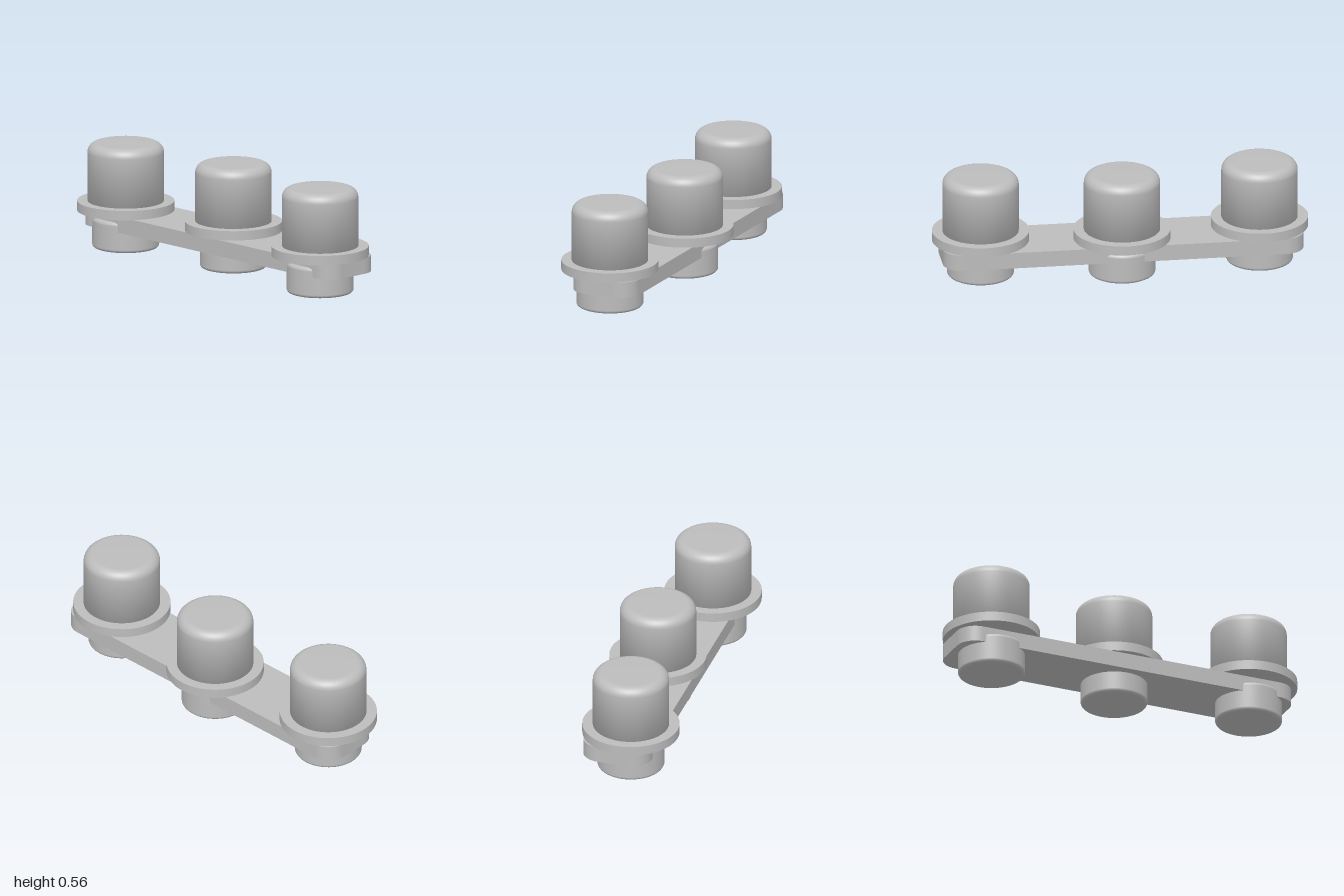
import * as THREE from 'three';

const SEGMENTS = 64;

// Solid round peg with filleted rims, from y0 to y1
function roundedPeg(radius, y0, y1, bottomFillet, topFillet) {
  const points = [new THREE.Vector2(0, y0)];
  const fillet = (f, cy, from) => {
    if (f === 0) points.push(new THREE.Vector2(radius, cy));
    else for (let i = 0; i <= 8; i++) {
      const a = from + (i / 8) * Math.PI / 2;
      points.push(new THREE.Vector2(radius - f + f * Math.cos(a), cy + f * Math.sin(a)));
    }
  };
  fillet(bottomFillet, y0 + bottomFillet, -Math.PI / 2);
  fillet(topFillet, y1 - topFillet, 0);
  points.push(new THREE.Vector2(0, y1));
  return new THREE.LatheGeometry(points, SEGMENTS);
}

// Flat bar with rounded corners, lying in the xz plane
function barGeometry(w, d, h, r) {
  const s = new THREE.Shape();
  s.absarc(w - r, d - r, r, 0, Math.PI / 2);
  s.absarc(-w + r, d - r, r, Math.PI / 2, Math.PI);
  s.absarc(-w + r, -d + r, r, Math.PI, Math.PI * 1.5);
  s.absarc(w - r, -d + r, r, Math.PI * 1.5, Math.PI * 2);
  s.closePath();
  const g = new THREE.ExtrudeGeometry(s, { depth: h, bevelEnabled: false, curveSegments: 12 });
  return g.rotateX(-Math.PI / 2);
}

export function createModel() {
  const model = new THREE.Group();
  const grey = new THREE.MeshStandardMaterial({ color: 0xbcbcbc });
  grey.name = 'lightGrey';

  const add = (parent, name, geometry, y = 0) => {
    const mesh = new THREE.Mesh(geometry, grey);
    mesh.name = name;
    mesh.position.y = y;
    parent.add(mesh);
  };

  // Connecting bar
  add(model, 'connectingBar', barGeometry(0.96, 0.186, 0.087, 0.105), 0.113);

  // Three buttons, the middle one set further back
  const cap = roundedPeg(0.202, 0.21, 0.563, 0, 0.05);
  const flange = new THREE.CylinderGeometry(0.257, 0.257, 0.051, SEGMENTS);
  const foot = roundedPeg(0.177, 0, 0.165, 0.018, 0.02);
  const spots = [['right', -0.743, 0.038], ['middle', 0, -0.039], ['left', 0.743, 0.038]];
  for (const [side, x, z] of spots) {
    const button = new THREE.Group();
    button.name = side + 'Button';
    button.position.set(x, 0, z);
    add(button, side + 'Cap', cap);
    add(button, side + 'Flange', flange, 0.2245);
    add(button, side + 'Foot', foot);
    model.add(button);
  }
  return model;
}
